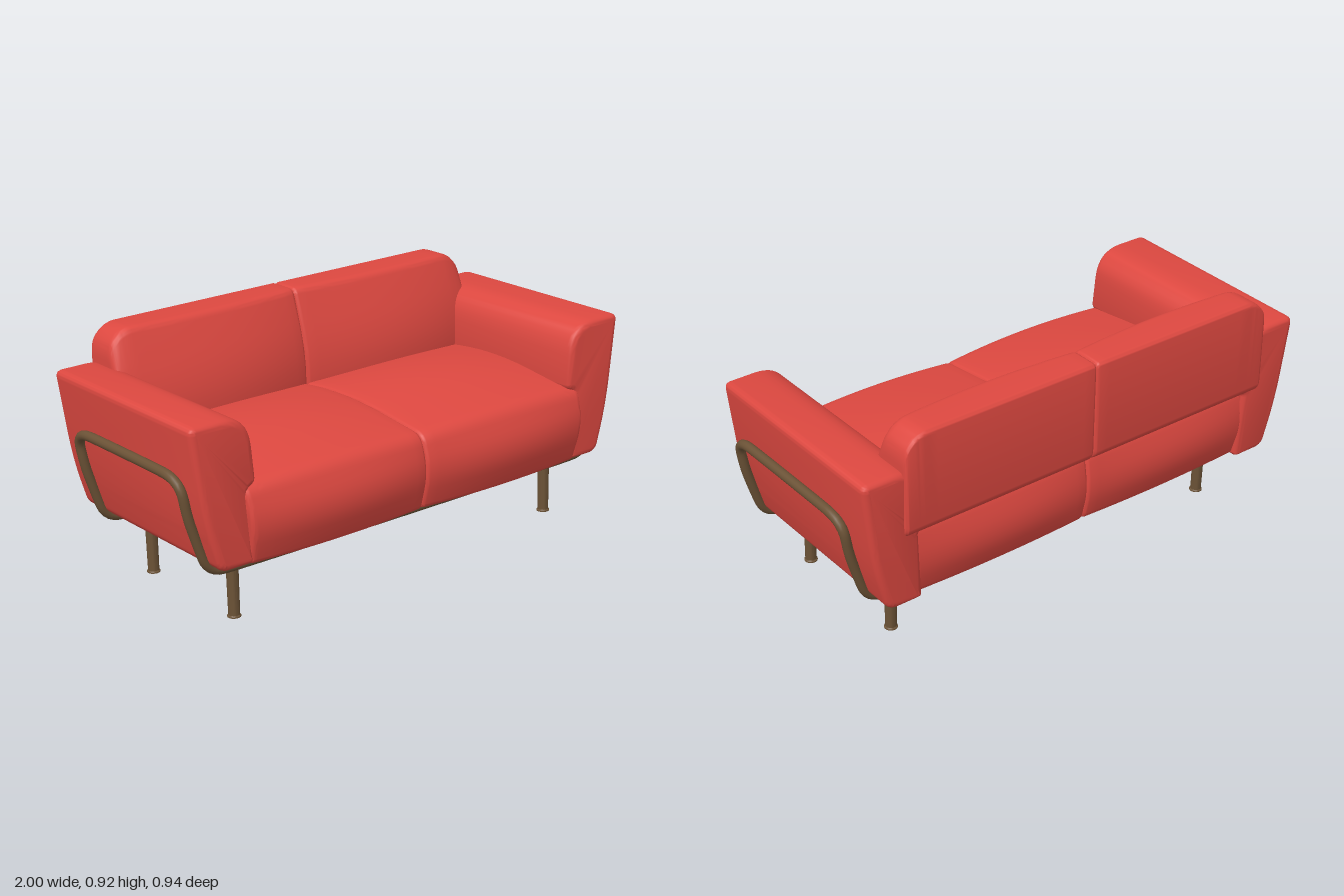
import * as THREE from 'three';
import { toCreasedNormals } from 'three/addons/utils/BufferGeometryUtils.js';

const fabric = new THREE.MeshStandardMaterial({ color: 0xdd4840 });
const metal = new THREE.MeshStandardMaterial({ color: 0x6b5236 });

// Closed loop of corners [Vector, radius], each corner rounded with a quadratic arc
function roundedLoop(corners, steps = 6) {
  const n = corners.length, out = [];
  corners.forEach(([p, r], i) => {
    const ends = [corners[(i + n - 1) % n][0], corners[(i + 1) % n][0]].map((q) => {
      const d = p.distanceTo(q);
      return p.clone().lerp(q, Math.min(r, d * 0.48) / d);
    });
    for (let k = 0; k <= steps; k++) {
      const t = k / steps;
      const a = ends[0].clone().lerp(p, t), b = p.clone().lerp(ends[1], t);
      out.push(a.lerp(b, t));
    }
  });
  return out;
}
const corners2 = (list) => list.map(([a, b, r]) => [new THREE.Vector2(a, b), r]);

// How far a rounded edge of radius r falls in at distance d from the end
const edgeInset = (d, r) => (d >= r ? 0 : r - Math.sqrt(r * r - (r - d) ** 2));

// Lofts cross-sections (z, y) along x from the centre seam to the outer end
function cushion(side, width, section, edge, taper) {
  const xs = [];
  for (const u of [0, 0.08, 0.3, 0.6]) xs.push(u * edge);
  for (let i = 0; i <= 20; i++) xs.push(edge + (width - 2 * edge) * (i / 20));
  for (const r of [0.1, edge]) {
    for (const u of [0, 0.03, 0.1, 0.22, 0.4, 0.6, 0.8]) if (r * u < r) xs.push(width - u * r);
  }
  const stations = [...new Set(xs.map((x) => +x.toFixed(4)))].sort((a, b) => a - b);
  const pos = [], idx = [];
  let n = 0;
  const put = (x, y, z) => pos.push(side * x * (1 - taper * (0.55 - y)), y, z);
  const tri = (a, b, c) => (side > 0 ? idx.push(a, b, c) : idx.push(a, c, b));
  const centres = [];
  stations.forEach((x) => {
    const t = x / width, bulge = 1 - (2 * t - 1) ** 2;
    const ring = roundedLoop(corners2(section(bulge, width - x)));
    n = ring.length;
    const box = new THREE.Box2().setFromPoints(ring);
    const c = box.getCenter(new THREE.Vector2()), size = box.getSize(new THREE.Vector2());
    const inset = edgeInset(Math.min(x, width - x), edge);
    const sz = 1 - (2 * inset) / size.x, sy = 1 - (2 * inset) / size.y;
    ring.forEach((p) => put(x, c.y + (p.y - c.y) * sy, c.x + (p.x - c.x) * sz));
    centres.push([x, c.y, c.x]);
  });
  const m = stations.length;
  for (let i = 0; i < m - 1; i++) {
    for (let j = 0; j < n; j++) {
      const a = i * n + j, b = i * n + ((j + 1) % n);
      tri(a, b, b + n);
      tri(a, b + n, a + n);
    }
  }
  // end caps
  put(...centres[0]);
  put(...centres[m - 1]);
  for (let j = 0; j < n; j++) {
    const k = (j + 1) % n, last = (m - 1) * n;
    tri(m * n, k, j);
    tri(m * n + 1, last + j, last + k);
  }
  const geo = new THREE.BufferGeometry();
  geo.setAttribute('position', new THREE.Float32BufferAttribute(pos, 3));
  geo.setIndex(idx);
  return toCreasedNormals(geo, 0.7);
}

const seatSection = (b) => [
  [0.42 + 0.02 * b, 0.256, 0.02],
  [-0.4 - 0.01 * b, 0.256, 0.03],
  [-0.43 - 0.025 * b, 0.4, 0.1],
  [-0.4, 0.555, 0.05],
  [0, 0.595 + 0.035 * b, 0.3],
  [0.425 + 0.012 * b, 0.545 + 0.012 * b, 0.045],
  [0.462 + 0.037 * b, 0.41, 0.1],
];

const backSection = (b, fromEnd) => {
  const top = 0.93 - edgeInset(fromEnd, 0.1);
  return [
    [-0.245 + 0.05 * b, 0.5, 0.03],
    [-0.4, 0.52, 0.03],
    [-0.449, 0.55, 0.03],
    [-0.442, top, 0.02],
    [-0.315 + 0.022 * b, top, 0.025],
    [-0.245 + 0.05 * b, 0.7, 0.12],
  ];
};

// Arm: rolled-over profile extruded front to back with soft edges
function armGeometry(side) {
  const profile = roundedLoop(corners2([
    [0.885, 0.258, 0.04], [0.94, 0.45, 0.12], [0.985, 0.796, 0.03], [0.742, 0.797, 0.14],
    [0.722, 0.55, 0.02], [0.755, 0.53, 0.01], [0.74, 0.258, 0.02],
  ]), 8).map((p) => new THREE.Vector2(side * p.x, p.y));
  const bevel = 0.025, length = 0.86;
  const geo = new THREE.ExtrudeGeometry(new THREE.Shape(profile), {
    depth: length - 2 * bevel, bevelThickness: bevel, bevelSize: bevel, bevelOffset: -bevel, bevelSegments: 5,
  });
  geo.translate(0, 0, -0.435 + bevel);
  return toCreasedNormals(geo, 0.7);
}

// Frame: one closed tube passing under the seat and arching up over both arms
function frameGeometry() {
  const front = 0.346, rear = -0.304;
  const rise = [[0.885, 0.237, 0.07], [0.955, 0.45, 0.05], [0.983, 0.602, 0.1]];
  const v = (s, z) => ([x, y, r]) => [new THREE.Vector3(s * x, y, z), r];
  const down = [...rise].reverse();
  const loop = roundedLoop([
    ...rise.map(v(1, front)), ...down.map(v(1, rear)),
    ...rise.map(v(-1, rear)), ...down.map(v(-1, front)),
  ]);
  const path = new THREE.CatmullRomCurve3(loop, true, 'centripetal');
  path.arcLengthDivisions = 1500;
  return new THREE.TubeGeometry(path, 320, 0.018, 14, true);
}

export function createModel() {
  const model = new THREE.Group();
  model.name = 'sofa';
  // the whole sofa leans back slightly
  const body = new THREE.Group();
  body.name = 'leaningBody';
  body.rotation.x = -0.035;
  body.position.y = -0.002;
  model.add(body);
  const add = (name, geo, mat, x = 0, y = 0, z = 0) => {
    const mesh = new THREE.Mesh(geo, mat);
    mesh.name = name;
    mesh.position.set(x, y, z);
    body.add(mesh);
  };

  // Legs with a slightly flared foot
  const leg = new THREE.LatheGeometry(
    [[0, 0], [0.025, 0], [0.025, 0.004], [0.021, 0.008], [0.0225, 0.23], [0, 0.23]].map((p) => new THREE.Vector2(...p)), 20);
  const legGeo = toCreasedNormals(leg, 0.6);

  for (const side of [1, -1]) {
    const label = side > 0 ? 'left' : 'right';
    add(label + 'SeatCushion', cushion(side, 0.78, seatSection, 0.014, 0.1), fabric);
    add(label + 'BackCushion', cushion(side, 0.822, backSection, 0.014, 0), fabric);
    add(label + 'Arm', armGeometry(side), fabric);
    // rail between the front and rear tubes
    add(label + 'Rail', new THREE.BoxGeometry(0.04, 0.034, 0.65), metal, side * 0.74, 0.238, 0.021);
    for (const [end, z] of [['Front', 0.276], ['Rear', -0.235]]) {
      add(label + end + 'Leg', legGeo, metal, side * 0.74, 0.011, z);
      add(label + end + 'LegPlate', new THREE.BoxGeometry(0.1, 0.01, 0.1), metal, side * 0.74, 0.227, z);
    }
  }
  add('tubeFrame', frameGeometry(), metal);
  return model;
}
